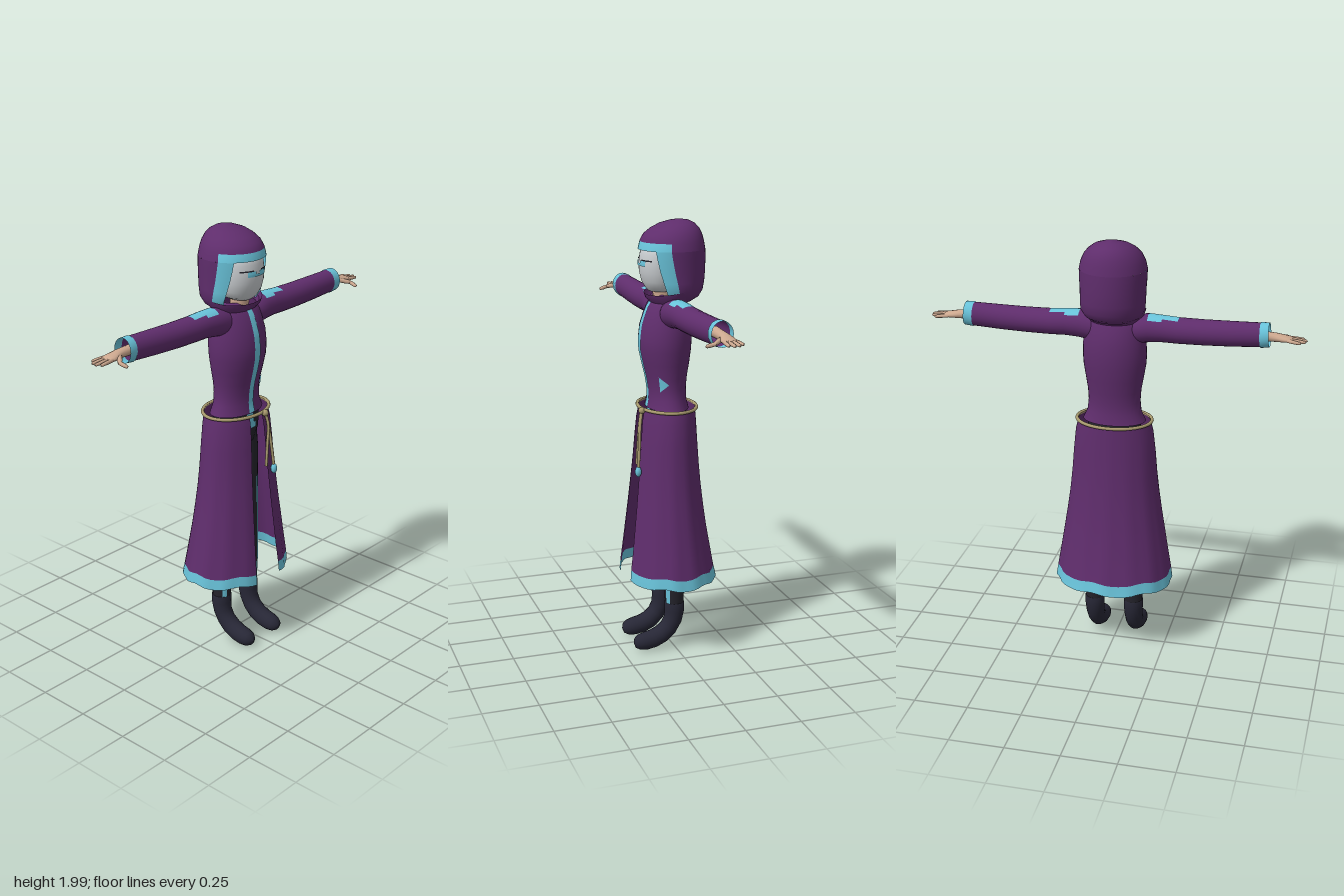
import * as THREE from 'three';

const TAU = Math.PI * 2;
const mat = (name, color) => {
  const m = new THREE.MeshStandardMaterial({ color, side: THREE.DoubleSide });
  m.name = name;
  return m;
};

// Surface from a grid of points; pick(i, j) chooses the material of a cell.
function grid(name, mats, nu, nv, point, { wrap = false, pick = () => 0 } = {}) {
  const list = [].concat(mats), pos = [], cells = list.map(() => []);
  const cols = wrap ? nu : nu + 1;
  for (let j = 0; j <= nv; j++) for (let i = 0; i < cols; i++) pos.push(...point(i, j));
  for (let j = 0; j < nv; j++) for (let i = 0; i < nu; i++) {
    const k = wrap ? (i + 1) % nu : i + 1;
    const a = j * cols + i, b = j * cols + k, c = b + cols, d = a + cols;
    cells[pick(i, j)].push(a, b, c, a, c, d);
  }
  const geo = new THREE.BufferGeometry();
  geo.setAttribute('position', new THREE.Float32BufferAttribute(pos, 3));
  geo.setIndex(cells.flat());
  let start = 0;
  cells.forEach((c, k) => { geo.addGroup(start, c.length, k); start += c.length; });
  geo.computeVertexNormals();
  const mesh = new THREE.Mesh(geo, list.length > 1 ? list : list[0]);
  mesh.name = name;
  return mesh;
}

// Profiles are rows of [y, half width, front z, back z], from the bottom up.
function onProfile(rows, a, y, off = 0) {
  let k = 0;
  while (k < rows.length - 2 && y > rows[k + 1][0]) k++;
  const t = THREE.MathUtils.clamp((y - rows[k][0]) / (rows[k + 1][0] - rows[k][0]), 0, 1);
  const [rx, zf, zb] = [1, 2, 3].map(n => rows[k][n] + (rows[k + 1][n] - rows[k][n]) * t);
  return [(rx + off) * Math.sin(a), y, (zf + zb) / 2 + ((zf - zb) / 2 + off) * Math.cos(a)];
}
const loft = (name, m, rows, n = 32, opts = {}) => grid(name, m, n, rows.length - 1,
  (i, j) => onProfile(rows, i / n * TAU, rows[j][0]), { wrap: true, ...opts });

// Thin painted plate following a profile; taper narrows it to a point at one side.
const plate = (name, m, rows, a0, a1, y0, y1, taper = 0, nv = 8) => grid(name, m, 6, nv, (i, j) => {
  const mid = (y0 + y1) / 2, y = y0 + (y1 - y0) * j / nv;
  return onProfile(rows, a0 + (a1 - a0) * i / 6, mid + (y - mid) * (1 - taper * i / 6), 0.004);
});

// Round sweep through [x, y, z, radius along ref, other radius].
function sweep(name, m, pts, ref, n = 14, opts = {}) {
  const P = pts.map(p => new THREE.Vector3(p[0], p[1], p[2]));
  const rings = pts.map((p, j) => {
    const t = P[Math.min(j + 1, P.length - 1)].clone().sub(P[Math.max(j - 1, 0)]).normalize();
    const e1 = ref.clone().addScaledVector(t, -ref.dot(t)).normalize();
    return [e1, t.clone().cross(e1)];
  });
  return grid(name, m, n, pts.length - 1, (i, j) => {
    const a = i / n * TAU, r1 = pts[j][3], r2 = pts[j][4] ?? r1;
    return P[j].clone().addScaledVector(rings[j][0], r1 * Math.cos(a))
      .addScaledVector(rings[j][1], r2 * Math.sin(a)).toArray();
  }, { wrap: true, ...opts });
}

export function createModel() {
  const purple = mat('purple cloth', 0x5f2d6c), cyan = mat('cyan trim', 0x69c3da);
  const skin = mat('skin', 0xcda88f), mask = mat('pale face', 0xc9cdd0);
  const legCloth = mat('dark trousers', 0x24232b), leather = mat('dark boots', 0x272736);
  const rope = mat('rope', 0xa89a6e);
  const X = new THREE.Vector3(1, 0, 0), Y = new THREE.Vector3(0, 1, 0);
  const model = new THREE.Group();
  model.name = 'robedFigure';

  // Robe body with front stripe and pocket mark
  const torso = [[1.155, .145, .1, -.09], [1.2, .124, .09, -.08], [1.25, .119, .092, -.08],
    [1.3, .122, .1, -.085], [1.36, .132, .115, -.095], [1.42, .142, .128, -.103], [1.47, .145, .13, -.106],
    [1.53, .142, .123, -.105], [1.58, .132, .107, -.095], [1.62, .125, .09, -.083],
    [1.65, .11, .07, -.07], [1.67, .07, .05, -.055]];
  model.add(loft('robeBody', purple, torso));
  model.add(plate('frontStripe', cyan, torso, -.12, .12, 1.16, 1.65, 0, 30));
  model.add(plate('pocketMark', cyan, torso, .85, 1.3, 1.24, 1.31, 1));

  // Skirt, split at the front, with a wavy trimmed hem
  const skirt = [[.35, .28, .22, -.22], [.4, .273, .215, -.208], [.5, .256, .202, -.19], [.6, .24, .19, -.172],
    [.7, .224, .178, -.158], [.8, .21, .167, -.146], [.9, .199, .156, -.137], [1, .191, .147, -.13],
    [1.1, .18, .137, -.124], [1.16, .165, .125, -.12]];
  const sn = 48;
  model.add(grid('skirt', [purple, cyan], sn, skirt.length - 1, (i, j) => {
    const [y, rx] = skirt[j], gap = Math.asin((.04 + (1.16 - y) * .05) / rx);
    const a = gap + (TAU - 2 * gap) * i / sn;
    const p = onProfile(skirt, a, y, -.004 * (1.16 - y) * (1 - Math.cos(a * 14)));
    if (j < 2) p[1] += .006 * Math.sin(a * 7);
    return p;
  }, { pick: (i, j) => (j === 0 ? 1 : 0) }));

  // Rope belt with two hanging ends and a tassel
  const tube = (name, pts, r, closed = false) => {
    const curve = new THREE.CatmullRomCurve3(pts.map(p => new THREE.Vector3(...p)), closed);
    const mesh = new THREE.Mesh(new THREE.TubeGeometry(curve, closed ? 64 : 16, r, 8, closed), rope);
    mesh.name = name;
    model.add(mesh);
  };
  const beltPts = [];
  for (let i = 0; i < 24; i++) beltPts.push(onProfile(skirt, i / 24 * TAU, 1.157, .007));
  tube('ropeBelt', beltPts, .008, true);
  tube('shortRopeEnd', [[.045, 1.155, .138], [.055, 1.1, .15], [.045, 1, .155], [.035, .9, .158]], .007);
  tube('longRopeEnd', [[.05, 1.155, .138], [.06, 1.08, .15], [.072, .98, .158], [.08, .89, .165]], .007);
  const knot = new THREE.Mesh(new THREE.SphereGeometry(.016, 12, 8), rope);
  knot.name = 'beltKnot';
  knot.position.set(.048, 1.152, .137);
  const tassel = new THREE.Mesh(new THREE.SphereGeometry(.015, 12, 10), cyan);
  tassel.name = 'tassel';
  tassel.scale.y = 1.6;
  tassel.position.set(.08, .876, .166);
  model.add(knot, tassel);

  // Hips with cyan front panel
  const hips = [[.96, .05, .04, -.05], [1, .105, .072, -.08], [1.06, .125, .085, -.085],
    [1.12, .125, .09, -.085], [1.18, .11, .085, -.075]];
  model.add(loft('hips', legCloth, hips, 24));
  model.add(plate('waistPanel', cyan, hips, -.36, .36, 1.075, 1.105));
  model.add(plate('waistTab', cyan, hips, -.18, .18, 1.1, 1.16));

  // Hood: closed crown plus a lower shell open around the face
  const hood = [[1.64, .1, .05, -.105], [1.66, .125, .08, -.14], [1.69, .143, .1, -.158], [1.73, .145, .112, -.166],
    [1.78, .146, .123, -.17], [1.83, .149, .129, -.171], [1.87, .15, .13, -.17], [1.905, .142, .122, -.164],
    [1.935, .128, .106, -.156], [1.96, .107, .075, -.144], [1.98, .08, .035, -.125],
    [1.993, .045, -.01, -.1], [2, 0, -.055, -.055]];
  model.add(loft('hoodCrown', [purple, cyan], hood.slice(6), 40,
    { pick: (i, j) => (j === 0 && (i < 8 || i > 31) ? 1 : 0) }));
  const shell = hood.slice(0, 7);
  model.add(grid('hoodShell', [purple, cyan], 40, 6, (i, j) => {
    const a0 = .78 + (1.87 - shell[j][0]) * 1.2;
    return onProfile(shell, a0 + (TAU - 2 * a0) * i / 40, shell[j][0]);
  }, { pick: (i, j) => (j > 0 && (i < 4 || i > 35) ? 1 : 0) }));
  const collar = [[1.625, .11, .07, -.08], [1.66, .135, .095, -.11], [1.69, .145, .102, -.13]];
  model.add(grid('collar', purple, 32, 2, (i, j) => {
    const p = onProfile(collar, i / 32 * TAU, collar[j][0]);
    p[1] -= .009 * j * Math.cos(i / 32 * TAU);
    return p;
  }, { wrap: true }));

  // Neck and face with eyes and brows
  model.add(sweep('neck', skin, [[0, 1.62, .02, .042], [0, 1.73, .03, .042]], X, 16));
  const face = [[1.68, 0, .04, .04], [1.685, .05, .085, -.03], [1.7, .08, .1, -.04], [1.73, .097, .116, -.05],
    [1.77, .104, .126, -.05], [1.81, .107, .128, -.05], [1.85, .107, .122, -.05], [1.88, .102, .112, -.05],
    [1.9, .08, .09, -.04], [1.91, 0, .03, .03]];
  model.add(loft('face', mask, face, 32));
  for (const s of [1, -1]) {
    model.add(plate('eye', cyan, face, s > 0 ? .1 : -.5, s > 0 ? .5 : -.1, 1.8, 1.823));
    model.add(plate('brow', legCloth, face, s > 0 ? .2 : -.85, s > 0 ? .85 : -.2, 1.823, 1.829));
  }
  model.add(plate('noseBridge', cyan, face, -.12, .12, 1.8, 1.812));

  // Limbs, built on the left and mirrored
  for (const s of [1, -1]) {
    const side = new THREE.Group();
    side.name = s > 0 ? 'leftLimbs' : 'rightLimbs';
    side.scale.x = s;

    // Sleeve with shoulder patch and open cuff
    const sleeve = [[.05, 1.59, .002, .055, .055], [.11, 1.595, .004, .064, .066], [.16, 1.602, .004, .064, .062],
      [.22, 1.603, .001, .06, .06], [.29, 1.6, 0, .058, .06], [.4, 1.6, 0, .057, .057], [.52, 1.603, 0, .056, .053],
      [.65, 1.608, 0, .054, .047], [.652, 1.608, 0, .057, .05], [.69, 1.61, 0, .054, .048]];
    side.add(sweep('sleeve', [purple, cyan], sleeve, Y, 24, {
      pick: (i, j) => {
        const d = Math.min(i, 23 - i);
        return j >= 7 || (j === 2 && d < 3) || (j === 3 && d < 2) ? 1 : 0;
      },
    }));

    // Hand with splayed fingers and thumb
    side.add(sweep('palm', skin, [[.6, 1.605, 0, .024, .024], [.69, 1.603, 0, .021, .022], [.72, 1.602, 0, .019, .026],
      [.76, 1.598, .002, .014, .034], [.785, 1.596, .002, .011, .032], [.795, 1.595, .002, 0, 0]], Y));
    const digit = (name, a, b, r) => {
      const at = (t, k) => [...a.map((v, n) => v + (b[n] - v) * t), r * k];
      side.add(sweep(name, skin, [at(0, 1), at(.5, 1), at(.9, .8), at(1, 0)], Y, 8));
    };
    [[-.024, -.036, .83], [-.008, -.015, .85], [.01, .008, .855], [.026, .03, .842]].forEach(([z0, z1, x]) =>
      digit('finger', [.77, 1.597, z0], [x, 1.592, z1], .0085));
    digit('thumb', [.725, 1.6, .018], [.765, 1.588, .062], .011);
    digit('thumbTip', [.76, 1.589, .056], [.755, 1.578, .098], .009);

    // Trouser leg with cyan stripe
    const leg = [[.2, .094, .042], [.38, .092, .05], [.6, .08, .056], [.8, .07, .06], [.95, .064, .064], [1.04, .06, .06]];
    side.add(grid('trouserLeg', [legCloth, cyan], 24, leg.length - 1, (i, j) => {
      const [y, x, r] = leg[j], a = i / 24 * TAU;
      return [x + r * Math.sin(a), y, r * Math.cos(a) - .002];
    }, { wrap: true, pick: (i, j) => (j < 3 && (i === 1 || i === 2) ? 1 : 0) }));

    // Boot with curved foot
    side.add(sweep('boot', leather, [[.095, .232, -.002, .04], [.095, .23, -.002, .047], [.095, .19, -.002, .046],
      [.095, .145, .006, .043], [.094, .105, .028, .042], [.093, .075, .062, .043], [.093, .058, .1, .043],
      [.093, .05, .14, .042], [.093, .047, .17, .036], [.093, .046, .188, .024], [.093, .046, .197, 0]], X, 18));
    model.add(side);
  }
  return model;
}
